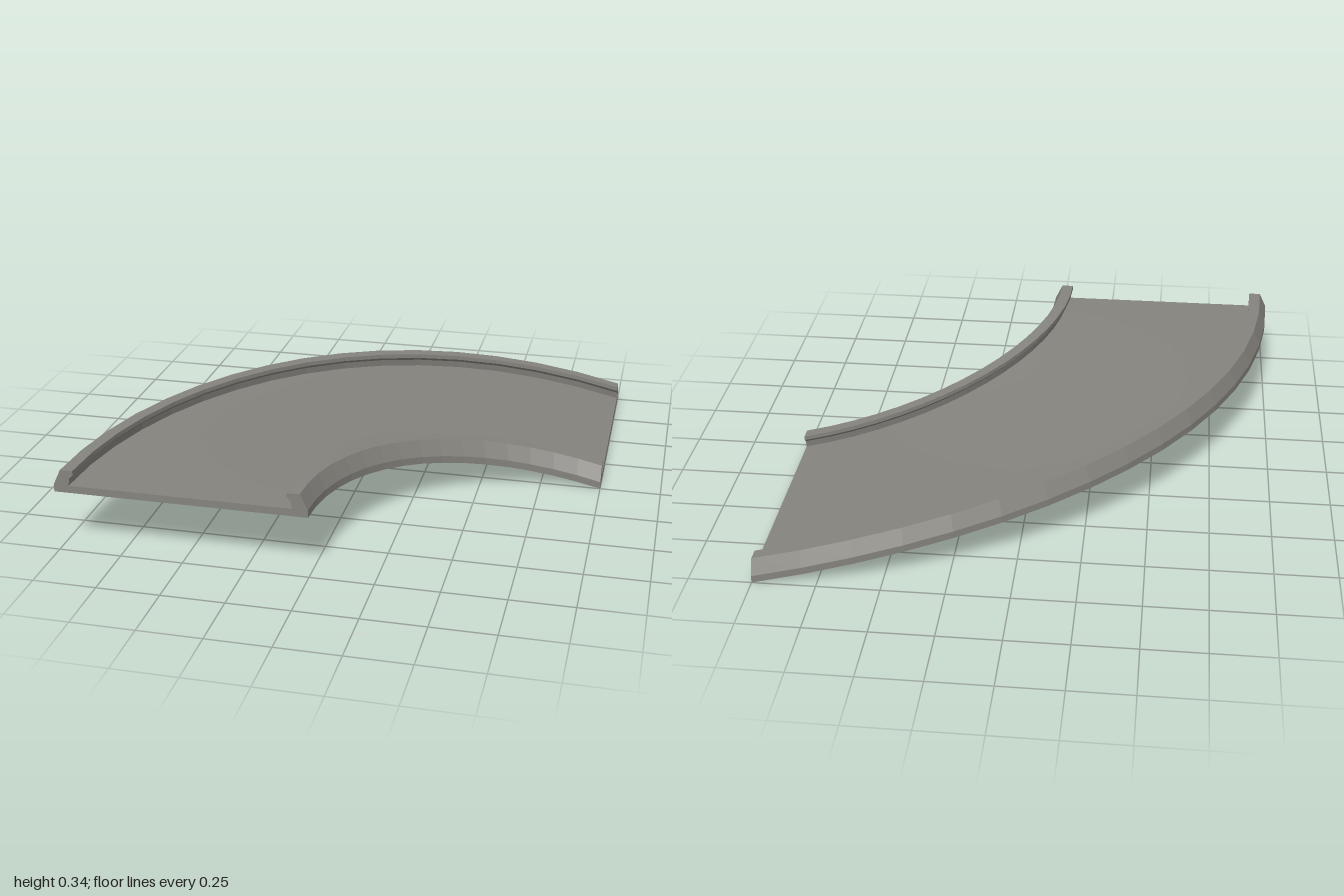
import * as THREE from 'three';

const SEGMENTS = 16;   // steps along the quarter turn
const DROP = 0.25;     // height lost from the high end to the low end

// Maps radius, height above the underside and turn angle to space.
// The deck leaves the high end level at the outside and meets the low end at a constant slope.
function place(r, h, a) {
  const c = Math.cos(a);
  const base = DROP * c * (1 + (r - 1) * (1 - c));
  return [1 - r * c, base + h, 1 - r * Math.sin(a)];
}

// Sweeps an open profile of [radius, height] around the turn.
function sweep(profile, smooth = false) {
  const pos = [], index = [], n = profile.length;
  for (let i = 0; i <= SEGMENTS; i++) {
    const a = (i / SEGMENTS) * Math.PI / 2;
    for (const [r, h] of profile) pos.push(...place(r, h, a));
  }
  for (let i = 0; i < SEGMENTS; i++) {
    for (let j = 0; j < n - 1; j++) {
      const p = i * n + j, q = p + n;
      index.push(p, p + 1, q + 1, p, q + 1, q);
    }
  }
  return finish(pos, index, smooth);
}

// Closes both ends of a section.
function caps(profile) {
  const tris = THREE.ShapeUtils.triangulateShape(profile.map(([r, h]) => new THREE.Vector2(r, h)), []);
  const pos = [], index = [], n = profile.length;
  for (const a of [0, Math.PI / 2]) for (const [r, h] of profile) pos.push(...place(r, h, a));
  for (const [a, b, c] of tris) index.push(a, c, b, a + n, b + n, c + n);
  return finish(pos, index, false);
}

function finish(pos, index, smooth) {
  let g = new THREE.BufferGeometry();
  g.setAttribute('position', new THREE.Float32BufferAttribute(pos, 3));
  g.setIndex(index);
  if (!smooth) g = g.toNonIndexed();
  g.computeVertexNormals();
  return g;
}

export function createModel() {
  const model = new THREE.Group();
  model.name = 'curvedRamp';
  const grey = new THREE.MeshStandardMaterial({ color: 0x85837d, side: THREE.DoubleSide });
  grey.name = 'warm grey';

  const part = (name, ...geometries) => {
    const group = new THREE.Group();
    group.name = name;
    for (const g of geometries) {
      const mesh = new THREE.Mesh(g, grey);
      mesh.name = name;
      group.add(mesh);
    }
    model.add(group);
  };

  // Thin deck: walking surface, underside with edges, ends
  const slab = [[1, 0.03], [1, 0], [2, 0], [2, 0.03]];
  part('deck', sweep([[1.94, 0.03], [1.5, 0.03], [1.06, 0.03]], true), sweep(slab), caps(slab));

  // Side rails with a sloped outer face and a lip over the deck
  const inner = [[1.06, 0.03], [1.065, 0.06], [1.08, 0.075], [1.08, 0.093], [1.03, 0.093], [1, 0.03]];
  const outer = inner.map(([r, h]) => [3 - r, h]).reverse();
  part('innerRail', sweep(inner), caps(inner));
  part('outerRail', sweep(outer), caps(outer));

  return model;
}
